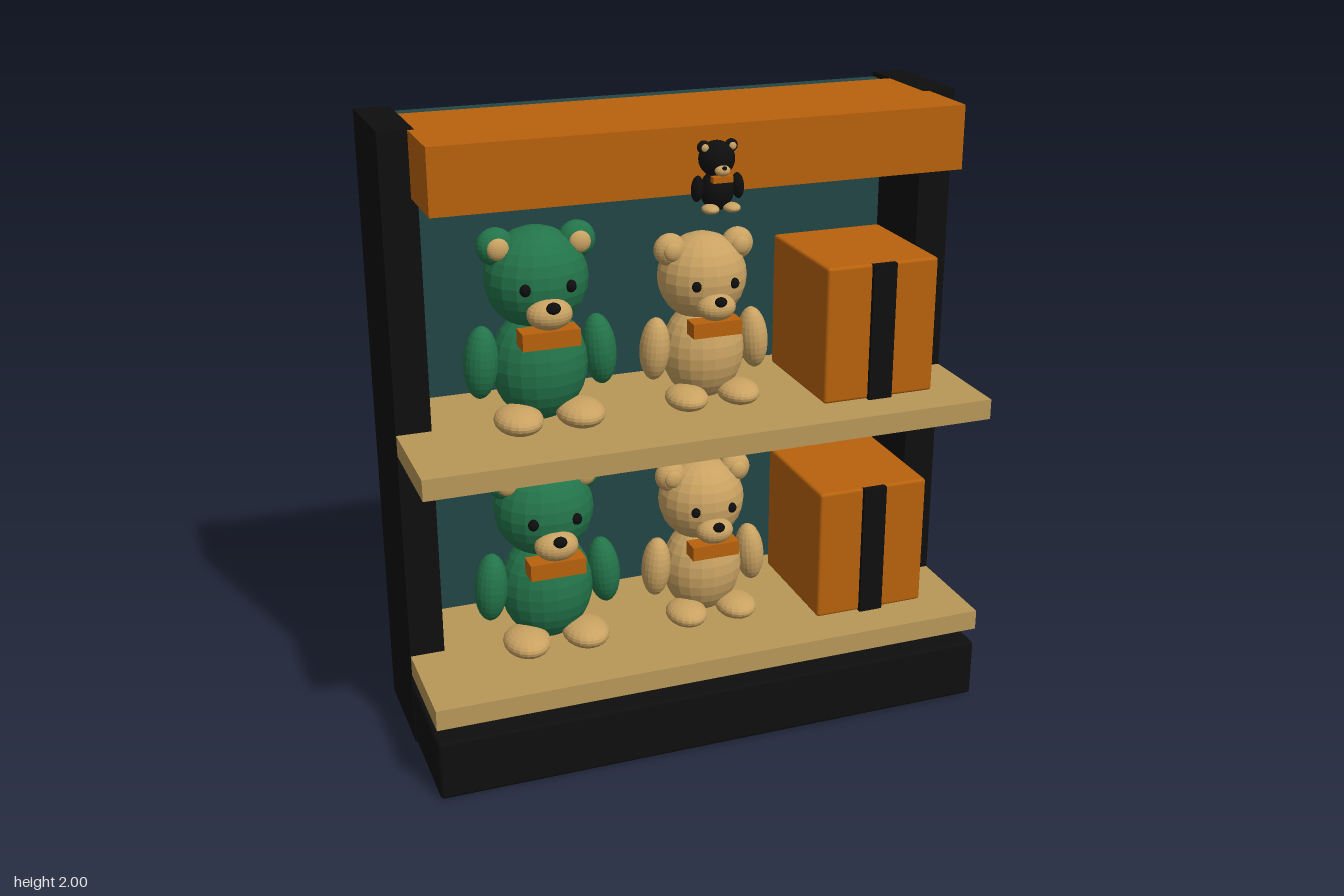
import * as THREE from 'three';
import { RoundedBoxGeometry } from 'three/addons/geometries/RoundedBoxGeometry.js';

const paint = (name, color, flatShading = false) => {
  const m = new THREE.MeshStandardMaterial({ color, flatShading });
  m.name = name;
  return m;
};

export function createModel() {
  const black = paint('black', 0x0e0e0e);
  const teal = paint('dark teal', 0x234646);
  const orange = paint('orange', 0xb8620c);
  const wood = paint('pale wood', 0xb89858);
  const green = paint('plush green', 0x23744a, true);
  const tan = paint('plush tan', 0xc9a262, true);

  const model = new THREE.Group();
  model.name = 'displayShelf';

  const add = (parent, name, geometry, material, x, y, z) => {
    const mesh = new THREE.Mesh(geometry, material);
    mesh.name = name;
    mesh.position.set(x, y, z);
    parent.add(mesh);
    return mesh;
  };

  // Box given by its limits on each axis
  const box = (parent, name, material, [x0, x1], [y0, y1], [z0, z1], radius = 0) => {
    const size = [x1 - x0, y1 - y0, z1 - z0];
    const geometry = radius
      ? new RoundedBoxGeometry(...size, 2, radius)
      : new THREE.BoxGeometry(...size);
    return add(parent, name, geometry, material, (x0 + x1) / 2, (y0 + y1) / 2, (z0 + z1) / 2);
  };

  const ball = new THREE.SphereGeometry(1, 20, 14);
  const blob = (parent, name, material, [x, y, z], [rx, ry, rz]) => {
    const mesh = add(parent, name, ball, material, x, y, z);
    mesh.scale.set(rx, ry, rz);
    return mesh;
  };

  // Seated toy bear, standing on its own y = 0
  const bear = (name, fur, x, y, z, scale) => {
    const g = new THREE.Group();
    g.name = name;
    blob(g, 'body', fur, [0, 0.18, 0], [0.15, 0.18, 0.13]);
    blob(g, 'head', fur, [0, 0.45, -0.01], [0.16, 0.158, 0.15]);
    blob(g, 'muzzle', tan, [0, 0.375, 0.13], [0.07, 0.048, 0.055]);
    blob(g, 'nose', black, [0, 0.405, 0.175], [0.022, 0.018, 0.018]);
    box(g, 'scarf', orange, [-0.09, 0.09], [0.272, 0.325], [0.08, 0.15]);
    for (const s of [-1, 1]) {
      blob(g, 'ear', fur, [s * 0.126, 0.56, 0.005], [0.058, 0.058, 0.045]);
      blob(g, 'innerEar', tan, [s * 0.126, 0.56, 0.04], [0.034, 0.034, 0.02]);
      blob(g, 'eye', black, [s * 0.07, 0.452, 0.124], [0.017, 0.019, 0.015]);
      blob(g, 'arm', fur, [s * 0.187, 0.207, 0.015], [0.053, 0.114, 0.062]).rotation.z = s * 0.08;
      blob(g, 'foot', tan, [s * 0.098, 0.041, 0.1], [0.075, 0.042, 0.095]);
    }
    g.position.set(x, y, z);
    g.scale.setScalar(scale);
    model.add(g);
  };

  // Carcass: plinth, posts, back panel and header
  box(model, 'base', black, [-0.918, 0.918], [0.002, 0.2], [-0.353, 0.355], 0.012);
  for (const s of [-1, 1]) {
    box(model, 'sidePost', black, [s * 0.865 - 0.055, s * 0.865 + 0.055], [0, 2], [-0.355, 0]);
  }
  box(model, 'backPanel', teal, [-0.812, 0.812], [0.19, 1.985], [-0.35, -0.28]);
  box(model, 'header', orange, [-0.83, 0.83], [1.8, 1.999], [-0.233, 0.233]);

  // Two identical stocked shelves
  for (const y of [0.317, 1.075]) {
    box(model, 'shelf', wood, [-0.919, 0.919], [y - 0.067, y], [-0.3535, 0.355]);
    bear('greenBear', green, -0.465, y, 0, 1);
    bear('tanBear', tan, 0.07, y, 0, 0.885);
    box(model, 'giftBox', orange, [0.4, 0.78], [y, y + 0.445], [-0.213, 0.213], 0.01);
    box(model, 'ribbon', black, [0.55, 0.63], [y, y + 0.445], [0.205, 0.226]);
  }

  // Small mascot in front of the header
  bear('smallBear', black, 0, 1.762, 0.29, 0.335);

  return model;
}
